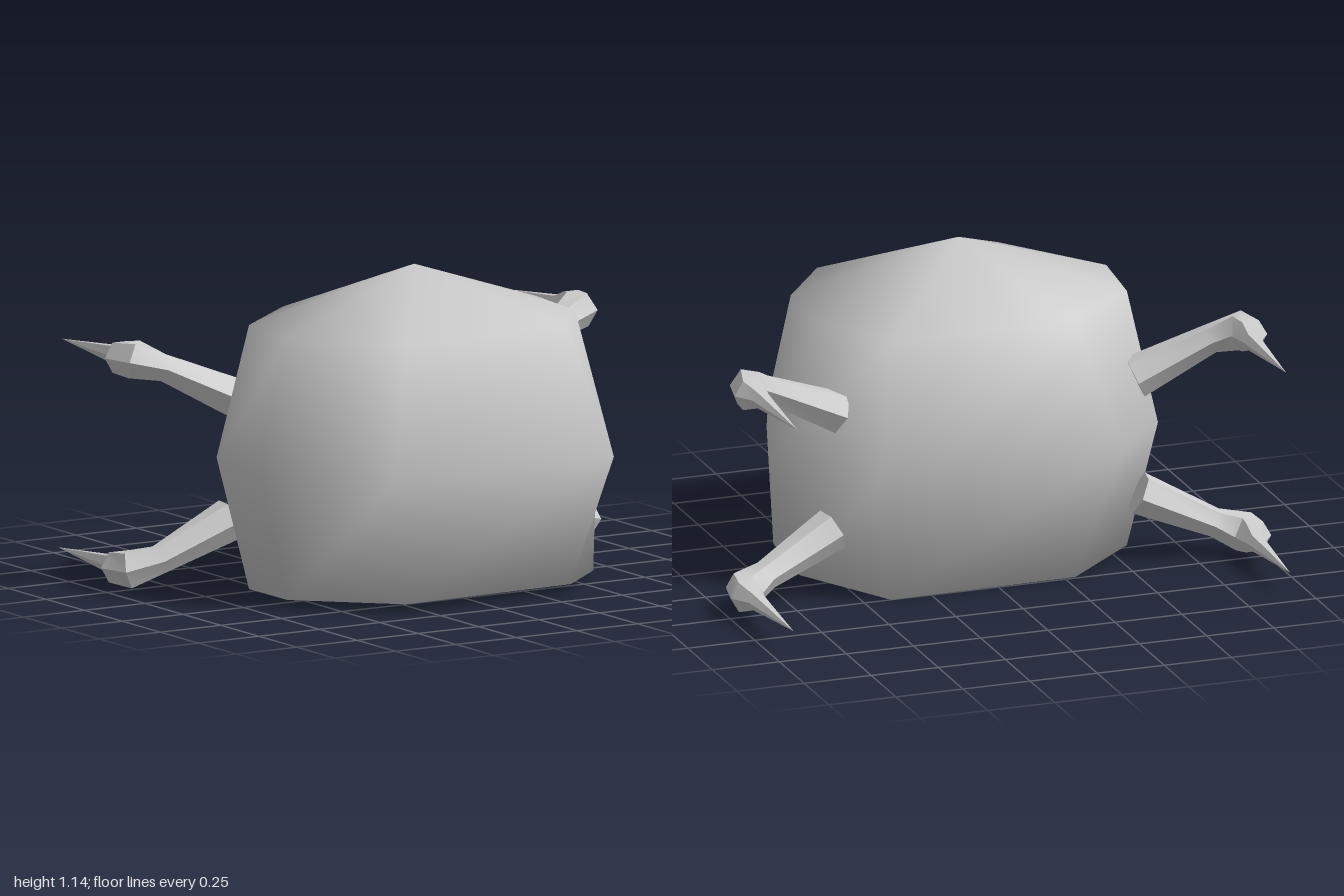
import * as THREE from 'three';
import { toCreasedNormals } from 'three/addons/utils/BufferGeometryUtils.js';

const stone = new THREE.MeshStandardMaterial({ color: 0xcccccc });
stone.name = 'stone grey';

// Skin equal-length rings (counter-clockwise seen from the last ring), closed by a point at each end.
function loft(rings, start, end) {
  const n = rings[0].length, pos = [], idx = [];
  rings.forEach(r => r.forEach(p => pos.push(p.x, p.y, p.z)));
  pos.push(start.x, start.y, start.z, end.x, end.y, end.z);
  const s = rings.length * n, e = s + 1, top = (rings.length - 1) * n;
  for (let i = 0; i < n; i++) {
    const j = (i + 1) % n;
    for (let k = 0; k < rings.length - 1; k++) {
      const a = k * n + i, b = k * n + j;
      idx.push(a, b, b + n, a, b + n, a + n);
    }
    idx.push(s, j, i, e, top + i, top + j);
  }
  const g = new THREE.BufferGeometry();
  g.setAttribute('position', new THREE.Float32BufferAttribute(pos, 3));
  g.setIndex(idx);
  g.computeVertexNormals();
  return g;
}

// Boulder body: three irregular eight-sided rings and a peak
function makeBody() {
  const ring = (pts, y) => pts.map(([x, z]) => new THREE.Vector3(x, y(z), z));
  const low = [[-0.33, 0.65], [0.37, 0.62], [0.6, 0.4], [0.62, 0.08], [0.4, -0.25], [-0.29, -0.24], [-0.57, 0], [-0.6, 0.3]];
  const mid = [[-0.41, 0.695], [0.525, 0.655], [0.64, 0.36], [0.745, 0.03], [0.47, -0.33], [-0.44, -0.32], [-0.66, -0.07], [-0.72, 0.32]];
  const high = [[-0.33, 0.655], [0.36, 0.61], [0.55, 0.36], [0.58, 0.05], [0.4, -0.25], [-0.28, -0.24], [-0.57, 0], [-0.6, 0.29]];
  const rings = [
    ring(low, z => 0.014 + 0.036 * z),
    ring(mid, () => 0.48),
    ring(high, () => 0.953),
  ];
  return loft(rings, new THREE.Vector3(0, 0.02, 0.18), new THREE.Vector3(-0.02, 1.15, 0.21));
}

// Bent limb: tapered arm, swollen elbow, long spike. Each station is x, y, z, radius.
const STATIONS = [
  [0.555, 0.675, -0.12, 0.078],
  [0.82, 0.8, -0.165, 0.053],
  [0.915, 0.832, -0.205, 0.072],
  [0.93, 0.832, -0.275, 0.062],
  [0.915, 0.832, -0.335, 0.034],
];
const TIP = [0.91, 0.83, -0.69];

function makeLimb(side, lower) {
  const place = ([x, y, z]) => new THREE.Vector3(side * (lower ? x + 0.015 : x), lower ? 0.92 - y : y, z);
  const path = [...STATIONS, TIP].map(place);
  const up = new THREE.Vector3(0, 1, 0);
  const rings = STATIONS.map((s, i) => {
    const t = path[i + 1].clone().sub(path[Math.max(i - 1, 0)]).normalize();
    const u = up.clone().cross(t).normalize();
    const v = t.clone().cross(u);
    return Array.from({ length: 6 }, (_, k) => {
      const a = k * Math.PI / 3;
      return path[i].clone().addScaledVector(u, s[3] * Math.cos(a)).addScaledVector(v, s[3] * Math.sin(a));
    });
  });
  return toCreasedNormals(loft(rings, path[0], path[5]), 0.7);
}

export function createModel() {
  const group = new THREE.Group();
  group.name = 'boulderCreature';
  const add = (geometry, name) => {
    const mesh = new THREE.Mesh(geometry, stone);
    mesh.name = name;
    group.add(mesh);
  };
  add(makeBody(), 'body');
  for (const side of [1, -1])
    for (const lower of [false, true])
      add(makeLimb(side, lower), (lower ? 'lower' : 'upper') + (side > 0 ? 'Left' : 'Right') + 'Limb');
  return group;
}
